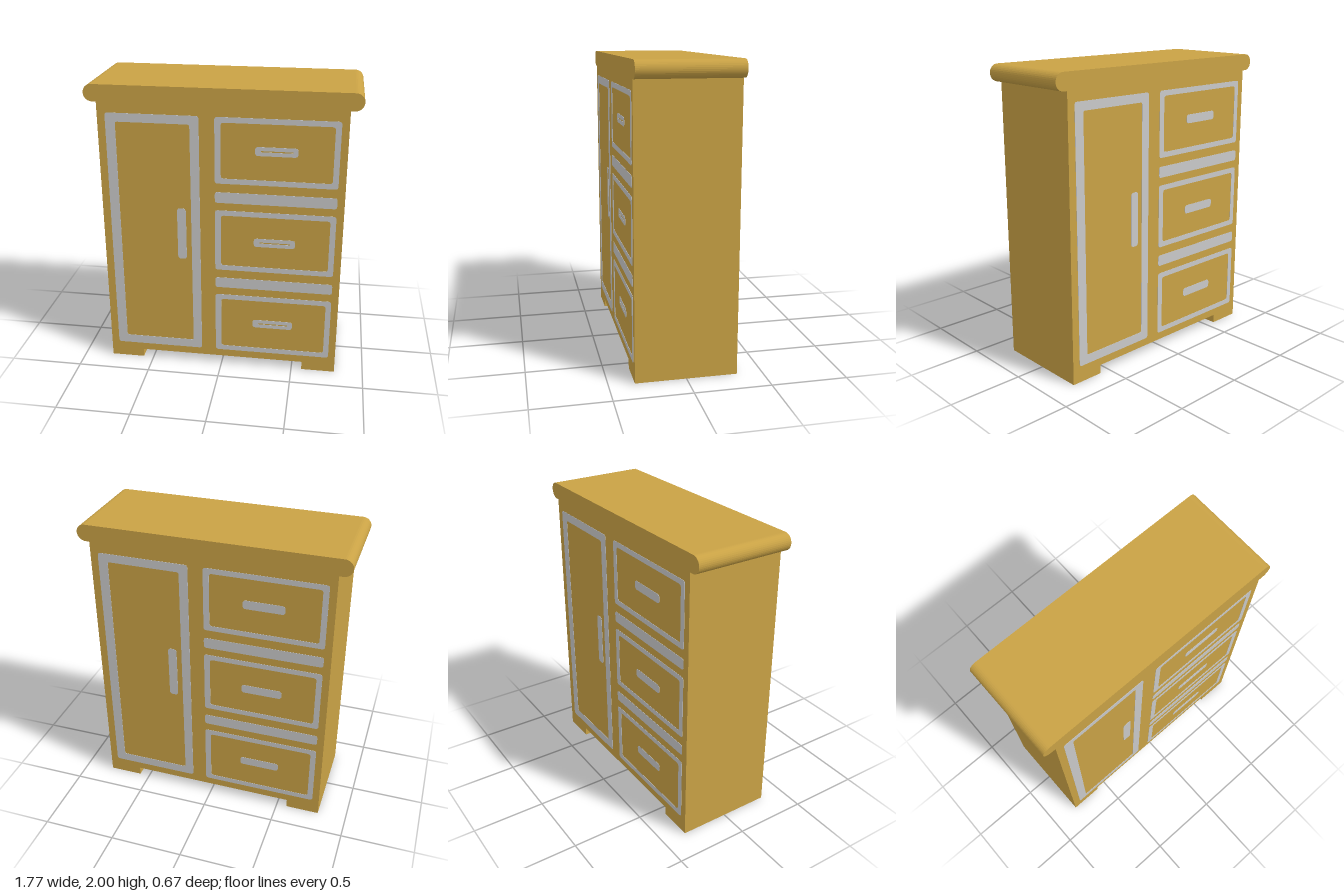
import * as THREE from 'three';

const DEPTH = 0.666, PLATE = 0.002;

// Traces a rounded rectangle on a Shape or Path
function roundRect(p, x0, y0, x1, y1, r) {
  p.moveTo(x0 + r, y0);
  p.lineTo(x1 - r, y0);
  p.quadraticCurveTo(x1, y0, x1, y0 + r);
  p.lineTo(x1, y1 - r);
  p.quadraticCurveTo(x1, y1, x1 - r, y1);
  p.lineTo(x0 + r, y1);
  p.quadraticCurveTo(x0, y1, x0, y1 - r);
  p.lineTo(x0, y0 + r);
  p.quadraticCurveTo(x0, y0, x0 + r, y0);
  return p;
}

export function createModel() {
  const wood = new THREE.MeshStandardMaterial({ color: 0xc9a245 });
  wood.name = 'goldenWood';
  const trim = new THREE.MeshStandardMaterial({ color: 0xc9c9c9 });
  trim.name = 'greyTrim';
  const model = new THREE.Group();
  model.name = 'wardrobe';

  // Carcass silhouette: two feet, straight sides and a round-ended cornice
  const s = new THREE.Shape();
  s.moveTo(-0.802, 0);
  s.lineTo(-0.572, 0);
  s.lineTo(-0.572, 0.06);
  s.lineTo(0.572, 0.06);
  s.lineTo(0.572, 0);
  s.lineTo(0.802, 0);
  s.lineTo(0.802, 1.888);
  s.lineTo(0.828, 1.888);
  s.absarc(0.828, 1.944, 0.056, -Math.PI / 2, Math.PI / 2, false);
  s.lineTo(-0.828, 2);
  s.absarc(-0.828, 1.944, 0.056, Math.PI / 2, Math.PI * 1.5, false);
  s.lineTo(-0.802, 1.888);
  s.closePath();
  const carcass = new THREE.Mesh(
    new THREE.ExtrudeGeometry(s, { depth: DEPTH, bevelEnabled: false, curveSegments: 8 }), wood);
  carcass.geometry.translate(0, 0, -DEPTH / 2);
  carcass.name = 'carcass';
  model.add(carcass);

  // Same inlaid trim on the front and, turned half round, on the back
  for (const side of ['front', 'back']) {
    const face = new THREE.Group();
    face.name = side + 'Trim';
    const plate = (name, outer, r, inner, innerR) => {
      const shape = roundRect(new THREE.Shape(), ...outer, r);
      if (inner) shape.holes.push(roundRect(new THREE.Path(), ...inner, innerR));
      const mesh = new THREE.Mesh(
        new THREE.ExtrudeGeometry(shape, { depth: PLATE, bevelEnabled: false, curveSegments: 4 }), trim);
      mesh.position.z = DEPTH / 2;
      mesh.name = name;
      face.add(mesh);
    };

    // Door frame and handle
    plate('doorFrame', [-0.75, 0.113, -0.14, 1.82], 0.02, [-0.685, 0.175, -0.2, 1.762], 0.015);
    plate('doorHandle', [-0.295, 0.815, -0.235, 1.185], 0.022);

    // Drawer frames with slotted handles
    [[0.113, 0.56, 0.345], [0.75, 1.187, 0.968], [1.375, 1.82, 1.605]].forEach(([y0, y1, h]) => {
      plate('drawerFrame', [-0.04, y0, 0.755, y1], 0.02, [0, y0 + 0.036, 0.718, y1 - 0.036], 0.02);
      plate('drawerHandle', [0.22, h - 0.03, 0.495, h + 0.03], 0.022,
        side === 'front' ? [0.258, h - 0.004, 0.462, h + 0.004] : null, 0.002);
    });

    // Rails between drawers
    for (const y of [0.615, 1.24]) plate('drawerRail', [-0.04, y, 0.755, y + 0.075], 0.018);

    if (side === 'back') face.rotation.y = Math.PI;
    model.add(face);
  }
  return model;
}
